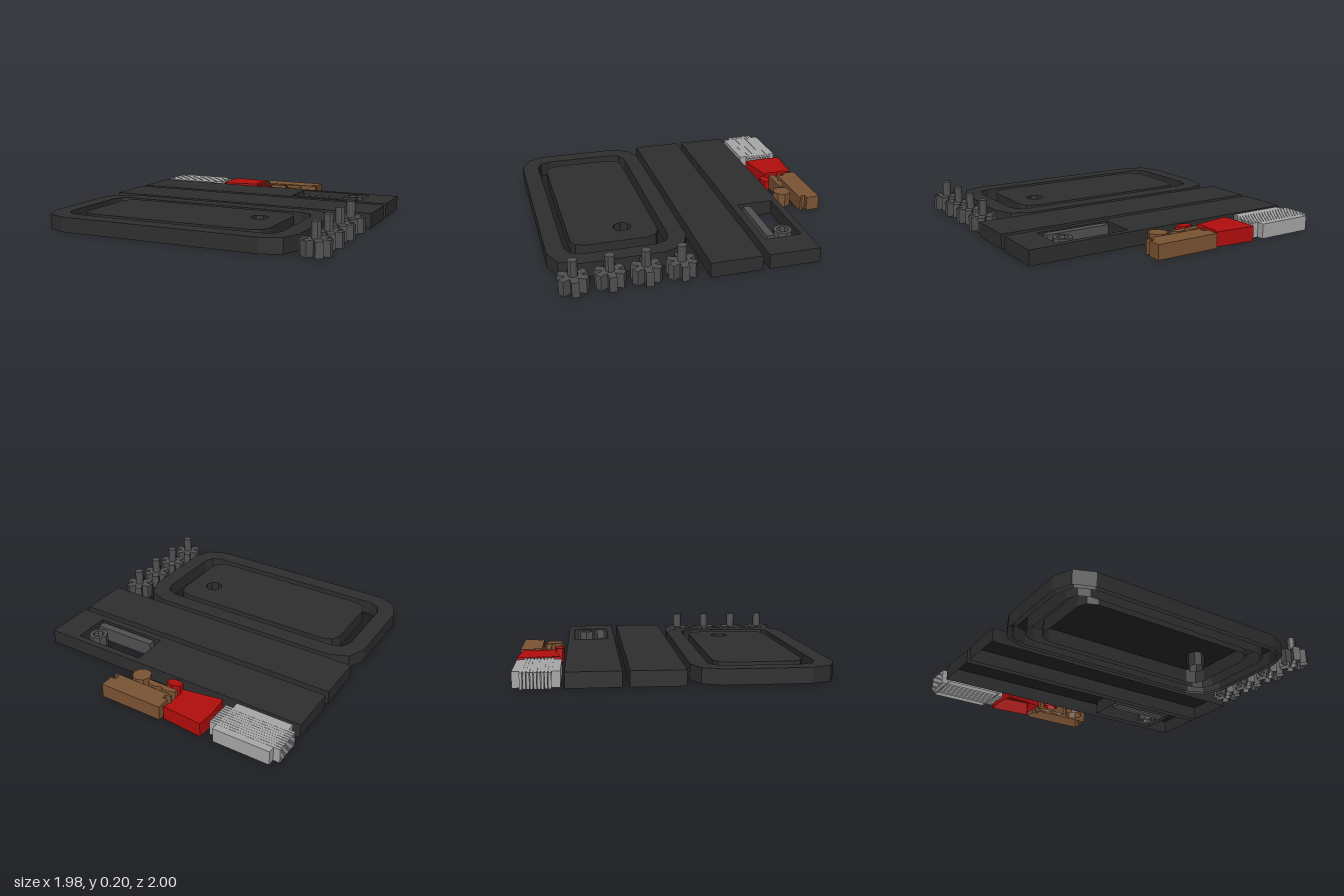
import * as THREE from 'three';

const H = 0.1; // common height of the hollow parts

function material(name, color) {
  const m = new THREE.MeshStandardMaterial({ color, side: THREE.DoubleSide, flatShading: true });
  m.name = name;
  return m;
}

// Plan outlines, as [x, z] points
const rect = (x0, x1, z0, z1) => [[x0, z0], [x1, z0], [x1, z1], [x0, z1]];

function polygon(cx, cz, r, n = 8) {
  return Array.from({ length: n }, (_, i) => {
    const a = (i / n) * Math.PI * 2;
    return [cx + r * Math.cos(a), cz + r * Math.sin(a)];
  });
}

// Rectangle whose corners are quarter circles of two segments
function roundRect(x0, x1, z0, z1, r) {
  const corners = [[x1 - r, z1 - r], [x0 + r, z1 - r], [x0 + r, z0 + r], [x1 - r, z0 + r]];
  return corners.flatMap(([cx, cz], q) => [0, 1, 2].map((k) => {
    const a = (q + k / 2) * Math.PI / 2;
    return [cx + r * Math.cos(a), cz + r * Math.sin(a)];
  }));
}

// Upright shell with a top and walls, open underneath
function shellGeometry(outline, holes = [], height = H) {
  const pts = (o) => o.map(([x, z]) => new THREE.Vector2(x, -z));
  const shape = new THREE.Shape(pts(outline));
  holes.forEach((h) => shape.holes.push(new THREE.Path(pts(h))));
  const full = new THREE.ExtrudeGeometry(shape, { depth: height, bevelEnabled: false });
  full.rotateX(-Math.PI / 2);
  const p = full.attributes.position.array;
  const kept = [];
  for (let i = 0; i < p.length; i += 9) {
    if (Math.max(p[i + 1], p[i + 4], p[i + 7]) > 1e-4) kept.push(...p.slice(i, i + 9));
  }
  const g = new THREE.BufferGeometry();
  g.setAttribute('position', new THREE.Float32BufferAttribute(kept, 3));
  g.computeVertexNormals();
  return g;
}

export function createModel() {
  const model = new THREE.Group();
  model.name = 'partsLayout';

  const black = material('charcoal', 0x2f2f2f);
  const gray = material('darkGray', 0x505050);
  const silver = material('lightGray', 0xa8a8a8);
  const red = material('red', 0xb30d0d);
  const brown = material('brown', 0x7c5434);

  function add(name, mat, outline, holes, height, parent = model) {
    const mesh = new THREE.Mesh(shellGeometry(outline, holes, height), mat);
    mesh.name = name;
    parent.add(mesh);
    return mesh;
  }

  // Two long slabs, the back one with a window
  add('backSlab', black, rect(-0.99, 0.99, -0.683, -0.34), [rect(0.265, 0.787, -0.638, -0.386)]);
  add('frontSlab', black, rect(-0.99, 0.99, -0.295, 0.048));

  // Loose pieces inside the window
  add('windowRing', gray, polygon(0.69, -0.548, 0.065), [polygon(0.69, -0.548, 0.04)]);
  add('windowBarBack', gray, rect(0.302, 0.755, -0.465, -0.44));
  add('windowBarFront', gray, rect(0.302, 0.755, -0.44, -0.412));

  // Frame in two nested rims around a panel with a round hole
  const seam = roundRect(-0.957, 0.741, 0.121, 0.967, 0.165);
  add('frameOuterRim', black, roundRect(-0.99, 0.774, 0.088, 1, 0.185), [seam]);
  add('frameInnerRim', black, seam, [roundRect(-0.874, 0.657, 0.202, 0.885, 0.1)]);
  add('panel', black, roundRect(-0.773, 0.553, 0.247, 0.832, 0.09), [polygon(0.366, 0.468, 0.062)]);

  // Six-armed knobs with a tall post
  const star = [];
  for (let i = 0; i < 6; i++) {
    const a = i * Math.PI / 3, c = Math.cos(a), s = Math.sin(a);
    for (const [u, v] of [[0.095, -0.024], [0.095, 0.024], [0.0416, 0.024]]) {
      star.push([u * c - v * s, u * s + v * c]);
    }
  }
  for (let i = 0; i < 4; i++) {
    const knob = new THREE.Group();
    knob.name = 'knob' + (i + 1);
    knob.position.set(0.896, 0, 0.205 + i * 0.225);
    add('knobArms', gray, star, [], H, knob);
    add('knobPost', gray, polygon(0, 0, 0.03, 12), [], 0.205, knob);
    model.add(knob);
  }

  // Ribbed box: ribs run through it and stick out at both ends
  add('ribbedBox', silver, rect(-0.949, -0.557, -0.995, -0.707));
  for (let i = 0; i < 9; i++) {
    const z = -0.947 + i * 0.0213;
    const rib = add('rib' + (i + 1), silver, rect(-0.993, -0.507, z, z + 0.0175), [], 0.101);
    rib.geometry.computeBoundingBox();
  }

  // Red pieces
  add('redBlock', red, [
    [-0.47, -1], [-0.182, -0.976], [-0.202, -0.92], [-0.196, -0.865],
    [-0.203, -0.815], [-0.186, -0.768], [-0.463, -0.721], [-0.477, -0.87],
  ]);
  add('redHexagon', red, [
    [-0.155, -0.755], [-0.105, -0.77], [-0.054, -0.755],
    [-0.054, -0.716], [-0.105, -0.702], [-0.155, -0.716],
  ]);

  // Brown pieces
  add('brownBlock', brown, [
    [-0.166, -1], [0.286, -1], [0.286, -0.907], [0.249, -0.907], [0.249, -0.872], [0.286, -0.872],
    [0.286, -0.857], [-0.166, -0.857], [-0.166, -0.872], [-0.129, -0.872], [-0.129, -0.907], [-0.166, -0.907],
  ]);
  add('brownWave', brown, [
    [-0.161, -0.82], [-0.125, -0.837], [-0.09, -0.837], [-0.055, -0.82],
    [-0.025, -0.837], [0.015, -0.837], [0.052, -0.82], [0.052, -0.793], [-0.161, -0.793],
  ]);
  add('brownOctagon', brown, polygon(0.132, -0.777, 0.065));

  return model;
}
